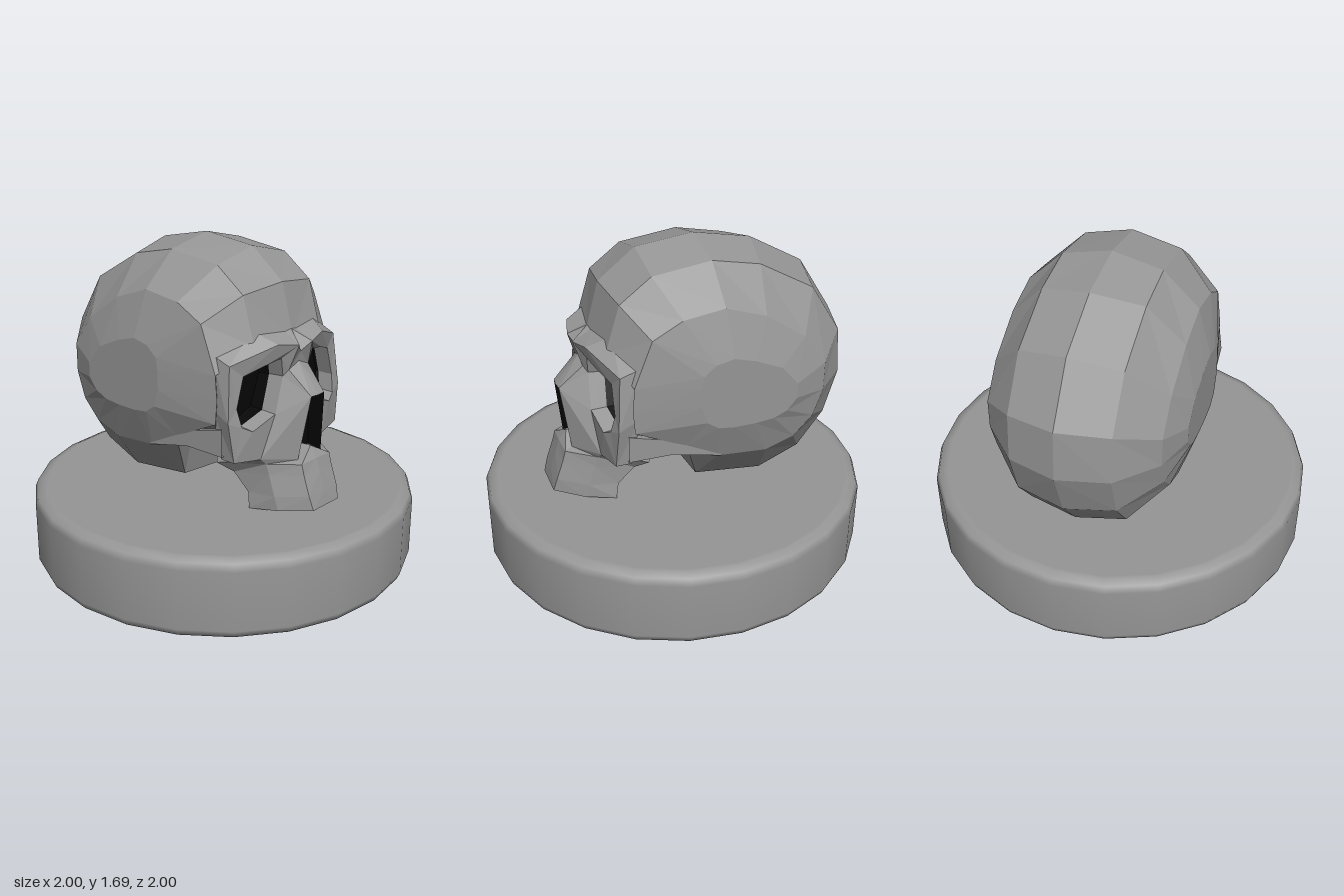
import * as THREE from 'three';

const bone = new THREE.MeshStandardMaterial({ color: 0x969696, flatShading: true, side: THREE.DoubleSide });
const dark = new THREE.MeshStandardMaterial({ color: 0x060606, flatShading: true, side: THREE.DoubleSide });
const stone = new THREE.MeshStandardMaterial({ color: 0x969696 });

// Collects faces for the left half and mirrors each one to the right
class Half {
  constructor() { this.pos = []; }
  tri(a, b, c) {
    const m = ([x, y, z]) => [-x, y, z];
    this.pos.push(...a, ...b, ...c, ...m(a), ...m(c), ...m(b));
    return this;
  }
  quad(a, b, c, d) { return this.tri(a, b, c).tri(a, c, d); }
  loft(rings, closed) {
    for (let i = 0; i < rings.length - 1; i++) {
      const p = rings[i], q = rings[i + 1], n = p.length;
      for (let j = 0; j < (closed ? n : n - 1); j++) {
        const k = (j + 1) % n;
        this.quad(p[j], q[j], q[k], p[k]);
      }
    }
    return this;
  }
  fan(ring, c, flip, closed = true) {
    const n = ring.length;
    for (let j = 0; j < (closed ? n : n - 1); j++) {
      const k = (j + 1) % n;
      flip ? this.tri(c, ring[k], ring[j]) : this.tri(c, ring[j], ring[k]);
    }
    return this;
  }
  mesh(name, material) {
    const g = new THREE.BufferGeometry();
    g.setAttribute('position', new THREE.Float32BufferAttribute(this.pos, 3));
    g.computeVertexNormals();
    const mesh = new THREE.Mesh(g, material);
    mesh.name = name;
    return mesh;
  }
}

// Side outlines [z, y] of the braincase, from the middle outwards
function cranium() {
  const slices = [
    [0, [[.45, 1.24], [.38, 1.5], [.19, 1.65], [-.11, 1.687], [-.41, 1.63], [-.7, 1.47], [-.88, 1.19], [-.895, .93],
      [-.81, .68], [-.66, .49], [-.41, .4], [-.03, .46], [.02, .72], [.2, .72], [.2, 1.1]]],
    [.25, [[.42, 1.24], [.35, 1.47], [.19, 1.59], [-.11, 1.63], [-.36, 1.58], [-.65, 1.42], [-.81, 1.17], [-.83, .93],
      [-.76, .7], [-.62, .52], [-.4, .43], [-.04, .47], [.02, .72], [.2, .73], [.2, 1.1]]],
    [.43, [[.34, 1.12], [.25, 1.35], [.1, 1.43], [-.11, 1.46], [-.32, 1.39], [-.53, 1.25], [-.65, 1.09], [-.65, .94],
      [-.6, .8], [-.5, .7], [-.35, .65], [-.09, .67], [.08, .76], [.34, .88], [.35, 1]]],
    [.5, [[.03, 1.1], [.02, 1.16], [-.04, 1.21], [-.13, 1.23], [-.24, 1.2], [-.38, 1.14], [-.47, 1.04], [-.47, .96],
      [-.42, .9], [-.35, .87], [-.25, .86], [-.14, .86], [-.06, .87], [0, .91], [.03, 1]]],
  ];
  const rings = slices.map(([x, pts]) => pts.map(([z, y]) => [x, y, z]));
  return new Half().loft(rings, true).fan(rings[3], [.5, 1, -.2], true).mesh('cranium', bone);
}

function face() {
  const group = new THREE.Group();
  group.name = 'face';

  // Eye socket rings: inner top, down past the nose, out along the cheek, back over the brow
  const rim = [[.12, 1.165, .48], [.095, 1.07, .47], [.16, .895, .48], [.3, .84, .46],
    [.355, .87, .44], [.37, .96, .42], [.325, 1.11, .42], [.22, 1.145, .46]];
  const frame = [[.05, 1.225, .53], [.075, 1.1, .49], [.05, .985, .61], [.24, .68, .46],
    [.4, .7, .43], [.43, .9, .42], [.4, 1.17, .4], [.17, 1.245, .5]];
  const inset = (s, dz) => rim.map(([x, y, z]) => [.23 + (x - .23) * s, 1 + (y - 1) * s, z - dz]);
  const wall = inset(.95, .08);
  const deep = inset(.9, 0).map(([x, y]) => [x, y, .33]);

  // Edge where the face runs back into the braincase
  const back = [[.27, .66, .36], [.4, .7, .35], [.42, .95, .31], [.41, 1.21, .3], [.22, 1.3, .38], [.04, 1.28, .42]];
  const outer = [3, 4, 5, 6, 7, 0].map(i => frame[i]);
  const noseBase = [.09, .665, .57];

  const f = new Half().loft([wall, rim, frame], true).loft([outer, back], false);
  f.tri(frame[2], noseBase, frame[3]);
  // Nose bridge and the dip between the brows
  const dip = [0, 1.18, .5], nasion = [0, 1.13, .49], tip = [0, .985, .615], glabella = [0, 1.28, .44];
  f.quad(nasion, tip, frame[2], frame[1]).quad(dip, nasion, frame[1], frame[0]);
  f.tri(dip, frame[0], glabella).tri(frame[0], back[5], glabella);
  group.add(f.mesh('eyeRimsAndCheeks', bone));

  group.add(new Half().loft([deep, wall], true).fan(deep, [.23, 1, .33], false).mesh('eyeSockets', dark));

  // Recessed nose opening
  const edge = [tip, frame[2], noseBase, [0, .715, .575]];
  const inner = [[0, .985, .52], [.045, .985, .52], [.08, .66, .5], [0, .7, .5]];
  group.add(new Half().loft([edge, inner], false).quad(inner[0], inner[3], inner[2], inner[1])
    .mesh('noseOpening', dark));
  return group;
}

// Upper jaw and teeth: half sections from top to bottom, front to back
function upperJaw() {
  const rings = [
    [[0, .715, .575], [.09, .665, .57], [.24, .68, .46], [.27, .72, .2], [0, .72, .2]],
    [[0, .66, .615], [.11, .655, .61], [.21, .65, .47], [.3, .62, .23], [0, .62, .23]],
    [[0, .6, .635], [.11, .6, .625], [.205, .595, .485], [.24, .57, .29], [0, .57, .29]],
    [[0, .5, .665], [.11, .5, .66], [.205, .49, .52], [.225, .48, .37], [0, .48, .37]],
    [[0, .43, .68], [.1, .43, .68], [.2, .42, .54], [.235, .4, .385], [0, .4, .385]],
  ];
  return new Half().loft(rings, false).fan(rings[0], [0, .71, .4], false, false)
    .fan(rings[4], [0, .42, .5], true, false).mesh('upperJaw', bone);
}

// Thin bars from the cheeks back to the braincase
function cheekArches() {
  const section = (x, y, z, h) => [[x - .03, y - h, z], [x, y - h, z], [x, y + h, z], [x - .03, y + h, z]];
  return new Half().loft([section(.42, .79, .37, .07), section(.43, .765, .15, .04), section(.435, .69, -.1, .02)], true)
    .mesh('cheekArches', bone);
}

function base() {
  const profile = [[0, 0], [.93, 0], [.945, 0], [.985, .015], [1, .05], [1, .35], [.985, .385], [.945, .4], [.93, .4], [0, .4]];
  const mesh = new THREE.Mesh(new THREE.LatheGeometry(profile.map(p => new THREE.Vector2(...p)), 24), stone);
  mesh.name = 'base';
  return mesh;
}

export function createModel() {
  const model = new THREE.Group();
  model.name = 'skullOnBase';
  model.add(base(), cranium(), face(), upperJaw(), cheekArches());
  return model;
}
